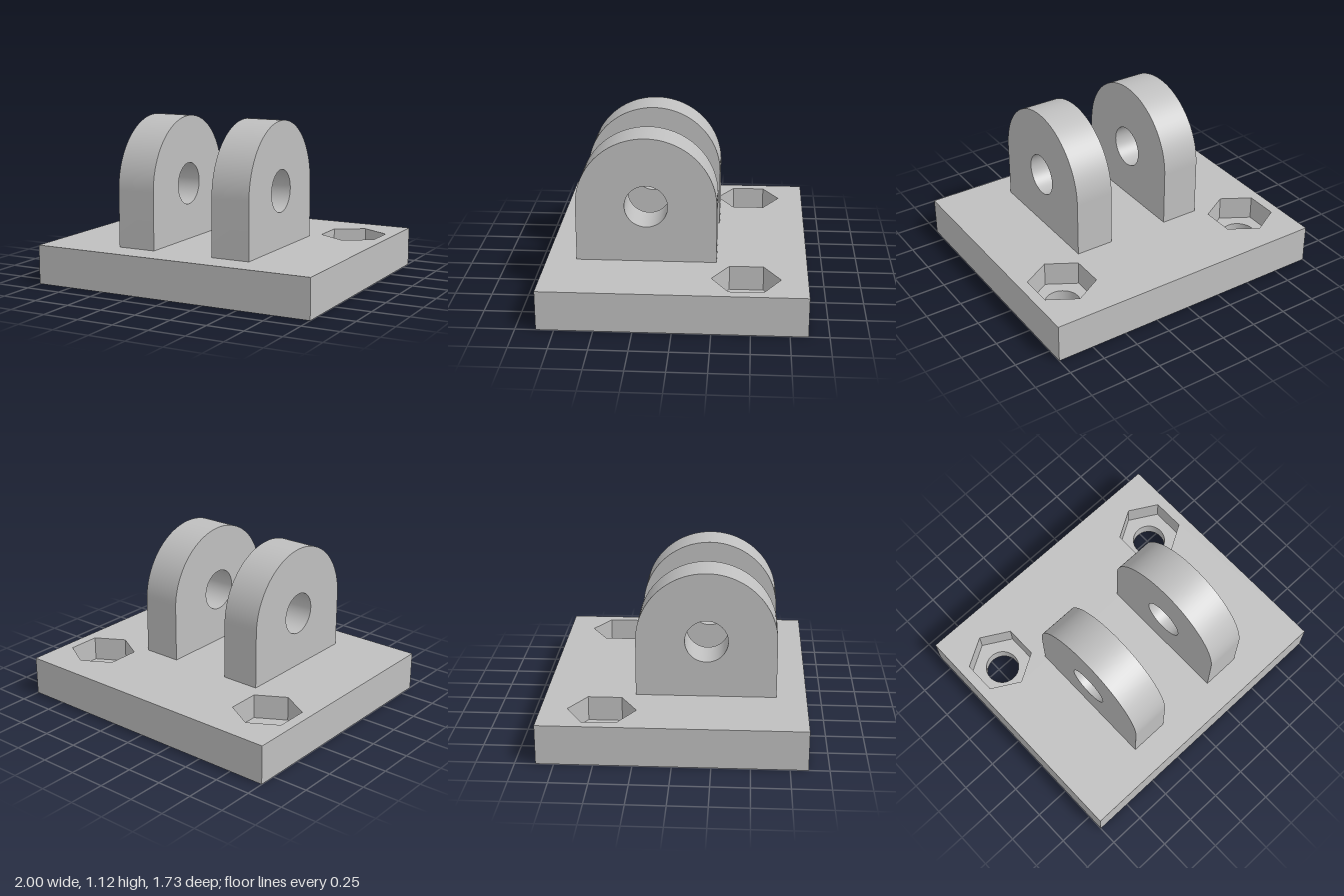
import * as THREE from 'three';
import { toCreasedNormals } from 'three/addons/utils/BufferGeometryUtils.js';

const W = 2, D = 1.733, T = 0.267;              // base plate
const HOLE_X = 0.733, HOLE_Z = -0.467;          // bolt positions
const HOLE_R = 0.117, HEX_R = 0.225, FLOOR = 0.1;
const SEG = 48;

const grey = new THREE.MeshStandardMaterial({ color: 0xbfbfbf });
grey.name = 'grey';

function add(parent, name, geometry, x = 0, y = 0, z = 0) {
  const mesh = new THREE.Mesh(geometry, grey);
  mesh.name = name;
  mesh.position.set(x, y, z);
  parent.add(mesh);
  return mesh;
}

// Ring of points with a corner on the shape's y axis
function ring(x, y, r, n) {
  return Array.from({ length: n }, (_, i) => {
    const a = (i / n) * Math.PI * 2;
    return new THREE.Vector2(x + r * Math.sin(a), y + r * Math.cos(a));
  });
}

// Horizontal plate face with two holes; dir is +1 facing up, -1 facing down
function plateFace(r, n, dir) {
  const shape = new THREE.Shape([
    new THREE.Vector2(-W / 2, -D / 2), new THREE.Vector2(W / 2, -D / 2),
    new THREE.Vector2(W / 2, D / 2), new THREE.Vector2(-W / 2, D / 2),
  ]);
  for (const s of [-1, 1]) {
    shape.holes.push(new THREE.Path(ring(s * HOLE_X, -dir * HOLE_Z, r, n)));
  }
  return new THREE.ShapeGeometry(shape).rotateX(-dir * Math.PI / 2);
}

// Open tube whose surface faces its own axis
function innerWall(r, h, n, flat) {
  let g = new THREE.CylinderGeometry(r, r, h, n, 1, true);
  const idx = Array.from(g.index.array);
  for (let i = 0; i < idx.length; i += 3) [idx[i], idx[i + 1]] = [idx[i + 1], idx[i]];
  g.setIndex(idx);
  if (flat) {
    g = g.toNonIndexed();
    g.computeVertexNormals();
  } else {
    const nrm = g.attributes.normal;
    for (let i = 0; i < nrm.count; i++) nrm.setXYZ(i, -nrm.getX(i), 0, -nrm.getZ(i));
  }
  return g;
}

// Upright lug: straight sides, round top and a pin hole
function lugGeometry() {
  const r = 0.467, cy = 0.653, cz = 0.2, pin = 0.143, thick = 0.267;
  const shape = new THREE.Shape();
  shape.moveTo(cz - r, T);
  shape.lineTo(cz + r, T);
  shape.lineTo(cz + r, cy);
  shape.absarc(cz, cy, r, 0, Math.PI, false);
  shape.closePath();
  shape.holes.push(new THREE.Path().absarc(cz, cy, pin, 0, Math.PI * 2, true));
  const g = new THREE.ExtrudeGeometry(shape, { depth: thick, bevelEnabled: false, curveSegments: 32 });
  g.translate(0, 0, -thick / 2).rotateY(-Math.PI / 2);
  return toCreasedNormals(g, Math.PI / 6);
}

export function createModel() {
  const model = new THREE.Group();
  model.name = 'clevisBracket';

  // Base plate: side walls, top and underside
  const base = new THREE.Group();
  base.name = 'basePlate';
  model.add(base);
  const sides = new THREE.BoxGeometry(W, T, D);
  const idx = Array.from(sides.index.array);
  idx.splice(12, 12); // top and bottom are separate faces with holes
  sides.setIndex(idx);
  sides.clearGroups();
  add(base, 'plateSides', sides, 0, T / 2, 0);
  add(base, 'plateTop', plateFace(HEX_R, 6, 1), 0, T, 0);
  add(base, 'plateUnderside', plateFace(HOLE_R, SEG, -1));

  // Hexagonal nut pockets with bolt holes through their floors
  const floor = new THREE.Shape(ring(0, 0, HEX_R, 6));
  floor.holes.push(new THREE.Path(ring(0, 0, HOLE_R, SEG)));
  const floorGeometry = new THREE.ShapeGeometry(floor).rotateX(-Math.PI / 2);
  const hexWall = innerWall(HEX_R, T - FLOOR, 6, true);
  const boltWall = innerWall(HOLE_R, FLOOR, SEG, false);

  const lug = lugGeometry();
  for (const [side, s] of [['left', 1], ['right', -1]]) {
    add(base, side + 'NutPocketWall', hexWall, s * HOLE_X, (T + FLOOR) / 2, HOLE_Z);
    add(base, side + 'NutPocketFloor', floorGeometry, s * HOLE_X, FLOOR, HOLE_Z);
    add(base, side + 'BoltHole', boltWall, s * HOLE_X, FLOOR / 2, HOLE_Z);
    add(model, side + 'Lug', lug, s * 0.35);
  }
  return model;
}
